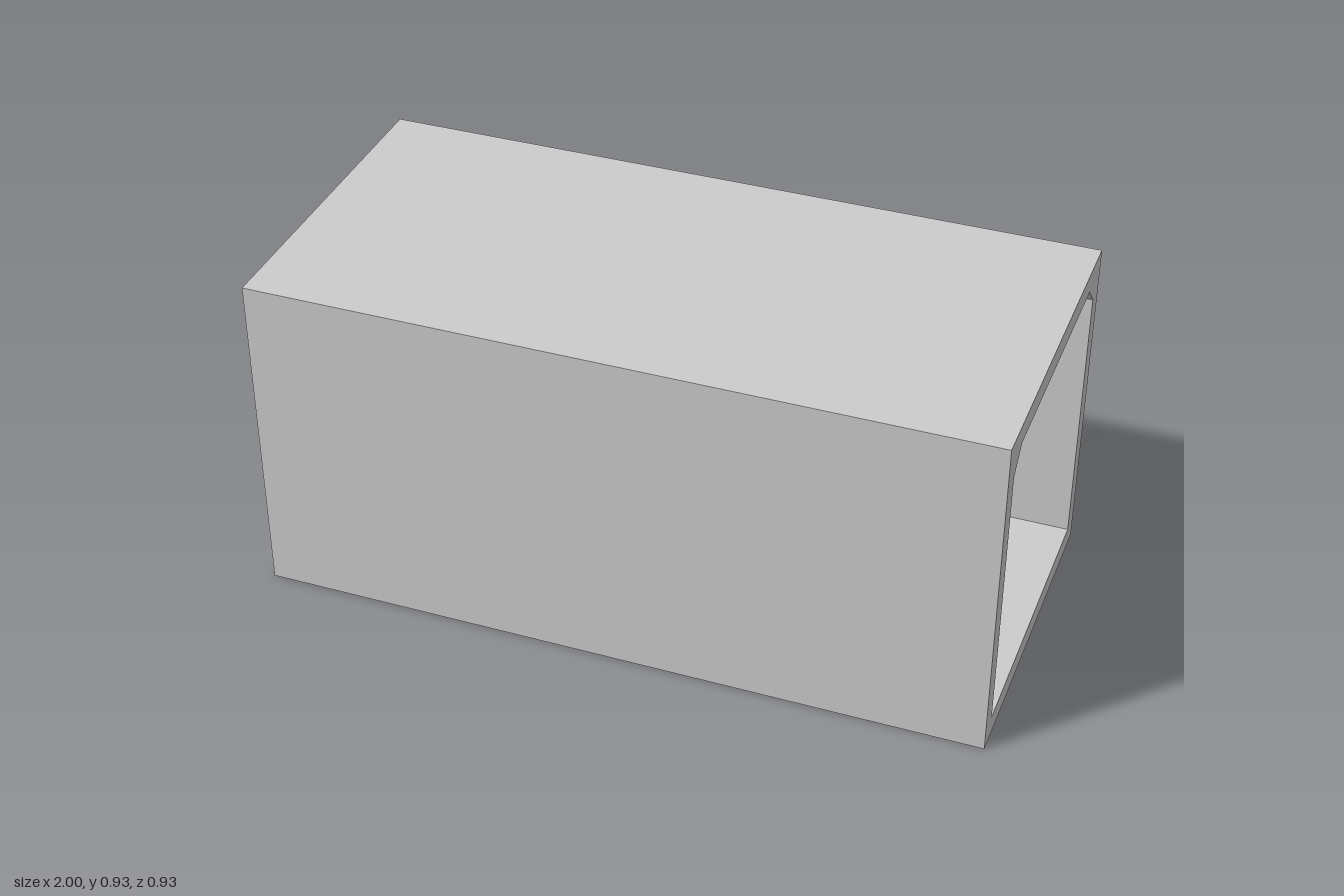
import * as THREE from 'three';

const material = new THREE.MeshStandardMaterial({ color: 0xcccccc, flatShading: true });

// Six-cornered cross-section at x, counter-clockwise seen from +x
function ring(x, half, bottom, top, chamfer = 0) {
  return [
    [half, bottom], [-half, bottom], [-half, top - chamfer],
    [-half + chamfer, top], [half - chamfer, top], [half, top - chamfer],
  ].map(([z, y]) => new THREE.Vector3(x, y, z));
}

// Joins a run of rings with quads and caps the first and last
function loft(rings) {
  const pos = [];
  const tri = (a, b, c) => {
    const t = new THREE.Triangle(a, b, c);
    if (t.getArea() > 1e-7) for (const p of [a, b, c]) pos.push(p.x, p.y, p.z);
  };
  for (let k = 0; k < rings.length - 1; k++) {
    const r = rings[k], s = rings[k + 1];
    for (let i = 0; i < r.length; i++) {
      const j = (i + 1) % r.length;
      tri(r[i], r[j], s[j]);
      tri(r[i], s[j], s[i]);
    }
  }
  const first = rings[0], last = rings[rings.length - 1];
  for (let i = 1; i < first.length - 1; i++) {
    tri(first[0], first[i + 1], first[i]);
    tri(last[0], last[i], last[i + 1]);
  }
  const geometry = new THREE.BufferGeometry();
  geometry.setAttribute('position', new THREE.Float32BufferAttribute(pos, 3));
  geometry.computeVertexNormals();
  return geometry;
}

function add(parent, name, geometry, x = 0, y = 0, z = 0) {
  const mesh = new THREE.Mesh(geometry, material);
  mesh.name = name;
  mesh.position.set(x, y, z);
  parent.add(mesh);
}

export function createModel() {
  const model = new THREE.Group();
  model.name = 'openEndedChamber';

  // Shell: outer block, open end frame, straight room, stepped taper to the end wall
  add(model, 'shell', loft([
    ring(-1, 0.467, 0, 0.933),
    ring(1, 0.467, 0, 0.933),
    ring(1, 0.41, 0.06, 0.875, 0.06),
    ring(-0.77, 0.41, 0.06, 0.875, 0.06),
    ring(-0.83, 0.35, 0.12, 0.815),
    ring(-0.94, 0.155, 0.315, 0.62),
  ]));

  const board = new THREE.BoxGeometry(0.9, 0.012, 0.102);
  const post = new THREE.CylinderGeometry(0.008, 0.008, 0.286, 12);
  const lamp = new THREE.BoxGeometry(0.25, 0.009, 0.078);

  for (const side of [1, -1]) {
    // Shelving along each side wall
    const rack = new THREE.Group();
    rack.name = side > 0 ? 'frontShelving' : 'backShelving';
    for (const y of [0.167, 0.26, 0.352]) add(rack, 'shelf', board, -0.25, y, side * 0.358);
    for (const x of [-0.68, -0.25, 0.18]) {
      for (const z of [0.324, 0.394]) add(rack, 'shelfPost', post, x, 0.203, side * z);
    }
    model.add(rack);

    // Flat lamps just under the ceiling
    for (const x of [-0.55, -0.1, 0.35]) add(model, 'ceilingLamp', lamp, x, 0.866, side * 0.137);
  }
  return model;
}
